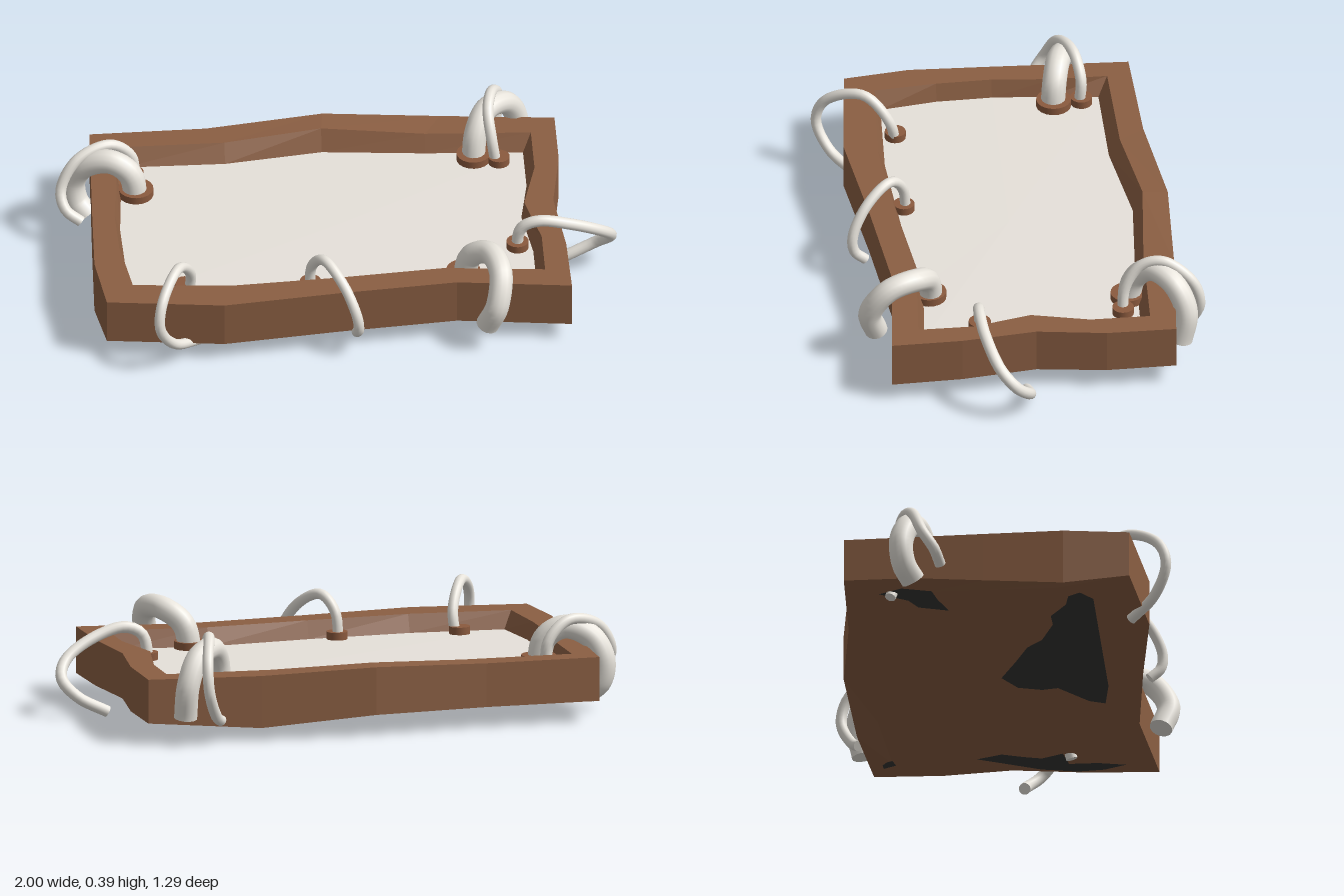
import * as THREE from 'three';

const wood = new THREE.MeshStandardMaterial({ color: 0x8b5f43, flatShading: true });
wood.name = 'brown wood';
const cloth = new THREE.MeshStandardMaterial({ color: 0xe6e1da, flatShading: true });
cloth.name = 'pale grey sheet';
const bone = new THREE.MeshStandardMaterial({ color: 0xe9e5dd });
bone.name = 'ivory ring';
const grommetMat = new THREE.MeshStandardMaterial({ color: 0x8b5a3e });
grommetMat.name = 'brown grommet';
const dark = new THREE.MeshStandardMaterial({ color: 0x363534, side: THREE.DoubleSide });
dark.name = 'dark underside';

// Outer rim, inner rim and floor outlines as x, z pairs, one row per corner
const outline = [
  [-0.86, -0.52, -0.78, -0.435, -0.745, -0.40],
  [-0.44, -0.53, -0.38, -0.44, -0.38, -0.40],
  [-0.02, -0.575, -0.03, -0.485, -0.03, -0.45],
  [0.40, -0.555, 0.34, -0.45, 0.34, -0.42],
  [0.81, -0.52, 0.72, -0.435, 0.69, -0.405],
  [0.81, -0.27, 0.72, -0.22, 0.69, -0.20],
  [0.775, -0.02, 0.67, -0.01, 0.66, -0.01],
  [0.805, 0.25, 0.72, 0.20, 0.69, 0.20],
  [0.81, 0.505, 0.72, 0.40, 0.69, 0.375],
  [0.40, 0.46, 0.36, 0.37, 0.36, 0.345],
  [-0.02, 0.50, -0.02, 0.405, -0.02, 0.385],
  [-0.44, 0.55, -0.40, 0.43, -0.40, 0.405],
  [-0.86, 0.505, -0.775, 0.405, -0.745, 0.385],
  [-0.89, 0.27, -0.795, 0.18, -0.775, 0.18],
  [-0.88, -0.02, -0.80, -0.02, -0.78, -0.02],
  [-0.87, -0.27, -0.78, -0.24, -0.765, -0.22],
];
const FLOOR = 0.175;
// The underside sinks slightly towards the front
const baseY = z => 0.075 - 0.01 * z;

// Joins closed loops of points into one faceted skin
function loft(sections) {
  const pos = [];
  for (let s = 0; s < sections.length - 1; s++) {
    const a = sections[s], b = sections[s + 1], n = a.length;
    for (let i = 0; i < n; i++) {
      const j = (i + 1) % n;
      pos.push(...a[i], ...a[j], ...b[j], ...a[i], ...b[j], ...b[i]);
    }
  }
  const g = new THREE.BufferGeometry();
  g.setAttribute('position', new THREE.Float32BufferAttribute(pos, 3));
  g.computeVertexNormals();
  return g;
}

function add(parent, name, geometry, material) {
  const m = new THREE.Mesh(geometry, material);
  m.name = name;
  parent.add(m);
  return m;
}

// Bent tube with flat ends, rising through a grommet in the floor
function addRing(parent, name, radius, points, gx, gz) {
  const group = new THREE.Group();
  group.name = name;
  const curve = new THREE.CatmullRomCurve3(points.map(p => new THREE.Vector3(...p)));
  add(group, name + 'Tube', new THREE.TubeGeometry(curve, 40, radius, 14), bone);
  for (const t of [0, 1]) {
    const cap = add(group, name + 'End', new THREE.CircleGeometry(radius, 14), bone);
    const p = curve.getPointAt(t), dir = curve.getTangentAt(t).multiplyScalar(t ? 1 : -1);
    cap.position.copy(p);
    cap.lookAt(p.clone().add(dir));
  }
  const r = radius + 0.019;
  const grommet = add(group, name + 'Grommet', new THREE.CylinderGeometry(r, r, 0.05, 18), grommetMat);
  grommet.position.set(gx, FLOOR + 0.003, gz);
  parent.add(group);
}

// Thin irregular patch under the tray, from x, z points
function addPatch(parent, name, points) {
  const g = new THREE.ShapeGeometry(new THREE.Shape(points.map(p => new THREE.Vector2(...p))));
  g.rotateX(Math.PI / 2);
  const pos = g.attributes.position;
  for (let i = 0; i < pos.count; i++) pos.setY(i, baseY(pos.getZ(i)) - 0.003);
  g.computeVertexNormals();
  add(parent, name, g, dark);
}

export function createModel() {
  const model = new THREE.Group();
  model.name = 'stretchedSheetFrame';

  // Wooden tray: inner wall, rim, outer wall and underside
  const drop = { 3: 0.05, 13: 0.035, 14: 0.057 };
  const floor = outline.map(p => [p[4], FLOOR, p[5]]);
  const innerTop = outline.map((p, i) => [p[2], i === 2 ? 0.255 : 0.24, p[3]]);
  const outerTop = outline.map((p, i) => [p[0], i === 2 ? 0.255 : 0.24, p[1]]);
  const outerBottom = outline.map((p, i) => [p[0], drop[i] ?? baseY(p[1]), p[1]]);
  const innerBottom = outline.map(p => [p[0] * 0.86, baseY(p[1] * 0.86), p[1] * 0.86]);
  const centre = y => outline.map(() => [0, y, 0]);
  add(model, 'frame', loft([floor, innerTop, outerTop, outerBottom, innerBottom, centre(baseY(0))]), wood);

  // Sheet filling the tray
  add(model, 'sheet', loft([centre(FLOOR + 0.004), floor]), cloth);

  // Dark patches on the underside
  addPatch(model, 'middlePatch', [
    [0.215, 0.35], [0.193, 0.293], [0.078, 0.188], [0.091, 0.13], [0.069, 0.045], [-0.015, -0.009],
    [-0.157, 0.054], [-0.27, 0.10], [-0.334, 0.158], [-0.462, 0.205], [-0.534, 0.202],
    [-0.629, 0.263], [-0.698, 0.275], [-0.728, 0.319], [-0.672, 0.364], [0.068, 0.37]]);
  addPatch(model, 'leftPatch', [
    [0.669, -0.142], [0.632, -0.05], [0.656, 0.024], [0.672, 0.091], [0.634, 0.169], [0.722, 0.186],
    [0.719, 0.292], [0.738, 0.389], [0.776, 0.31], [0.788, 0.211], [0.765, 0.084], [0.712, -0.04]]);
  addPatch(model, 'rightPatch', [
    [-0.595, -0.159], [-0.627, -0.267], [-0.686, -0.30], [-0.745, -0.402],
    [-0.79, -0.318], [-0.762, -0.211], [-0.689, -0.194]]);
  addPatch(model, 'cornerPatch', [
    [0.735, -0.48], [0.71, -0.435], [0.67, -0.445], [0.69, -0.485]]);

  // Rings threaded over the rim
  addRing(model, 'frontRightRing', 0.019, [
    [-0.57, 0.1, 0.35], [-0.55, 0.25, 0.37], [-0.6, 0.345, 0.46], [-0.665, 0.29, 0.59],
    [-0.675, 0.2, 0.625], [-0.62, 0.1, 0.58], [-0.53, 0.05, 0.49]], -0.57, 0.35);
  addRing(model, 'frontMiddleRing', 0.019, [
    [-0.12, 0.1, 0.36], [-0.115, 0.27, 0.37], [-0.075, 0.33, 0.42], [-0.01, 0.28, 0.51],
    [0.035, 0.18, 0.565], [0.042, 0.12, 0.56], [0.037, 0.08, 0.52]], -0.12, 0.365);
  addRing(model, 'frontLeftRing', 0.042, [
    [0.43, 0.1, 0.33], [0.455, 0.26, 0.335], [0.52, 0.315, 0.39], [0.555, 0.3, 0.49],
    [0.54, 0.2, 0.555], [0.505, 0.1, 0.53]], 0.43, 0.33);
  addRing(model, 'leftRing', 0.021, [
    [0.66, 0.06, 0.2], [0.635, 0.17, 0.17], [0.65, 0.265, 0.175], [0.71, 0.295, 0.18],
    [0.82, 0.27, 0.17], [0.945, 0.2, 0.125], [0.977, 0.14, 0.07], [0.93, 0.08, 0.02],
    [0.82, 0.022, 0.02]], 0.635, 0.17);
  addRing(model, 'backLeftThickRing', 0.042, [
    [0.51, 0.1, -0.37], [0.52, 0.27, -0.4], [0.56, 0.33, -0.46], [0.63, 0.31, -0.53],
    [0.675, 0.22, -0.57], [0.68, 0.1, -0.55]], 0.51, -0.375);
  addRing(model, 'backLeftThinRing', 0.02, [
    [0.6, 0.1, -0.35], [0.575, 0.27, -0.36], [0.565, 0.355, -0.42], [0.58, 0.375, -0.5],
    [0.61, 0.3, -0.6], [0.61, 0.2, -0.625], [0.57, 0.1, -0.58], [0.55, 0.085, -0.56]], 0.6, -0.35);
  addRing(model, 'rightThickRing', 0.044, [
    [-0.71, 0.1, -0.23], [-0.73, 0.26, -0.24], [-0.8, 0.305, -0.26], [-0.89, 0.27, -0.29],
    [-0.93, 0.19, -0.31], [-0.92, 0.11, -0.3], [-0.88, 0.065, -0.27]], -0.71, -0.235);
  addRing(model, 'rightThinRing', 0.02, [
    [-0.75, 0.06, -0.36], [-0.715, 0.17, -0.33], [-0.72, 0.27, -0.335], [-0.8, 0.34, -0.315],
    [-0.92, 0.31, -0.27], [-0.98, 0.21, -0.23], [-0.965, 0.15, -0.19], [-0.91, 0.11, -0.17]], -0.715, -0.335);

  return model;
}
